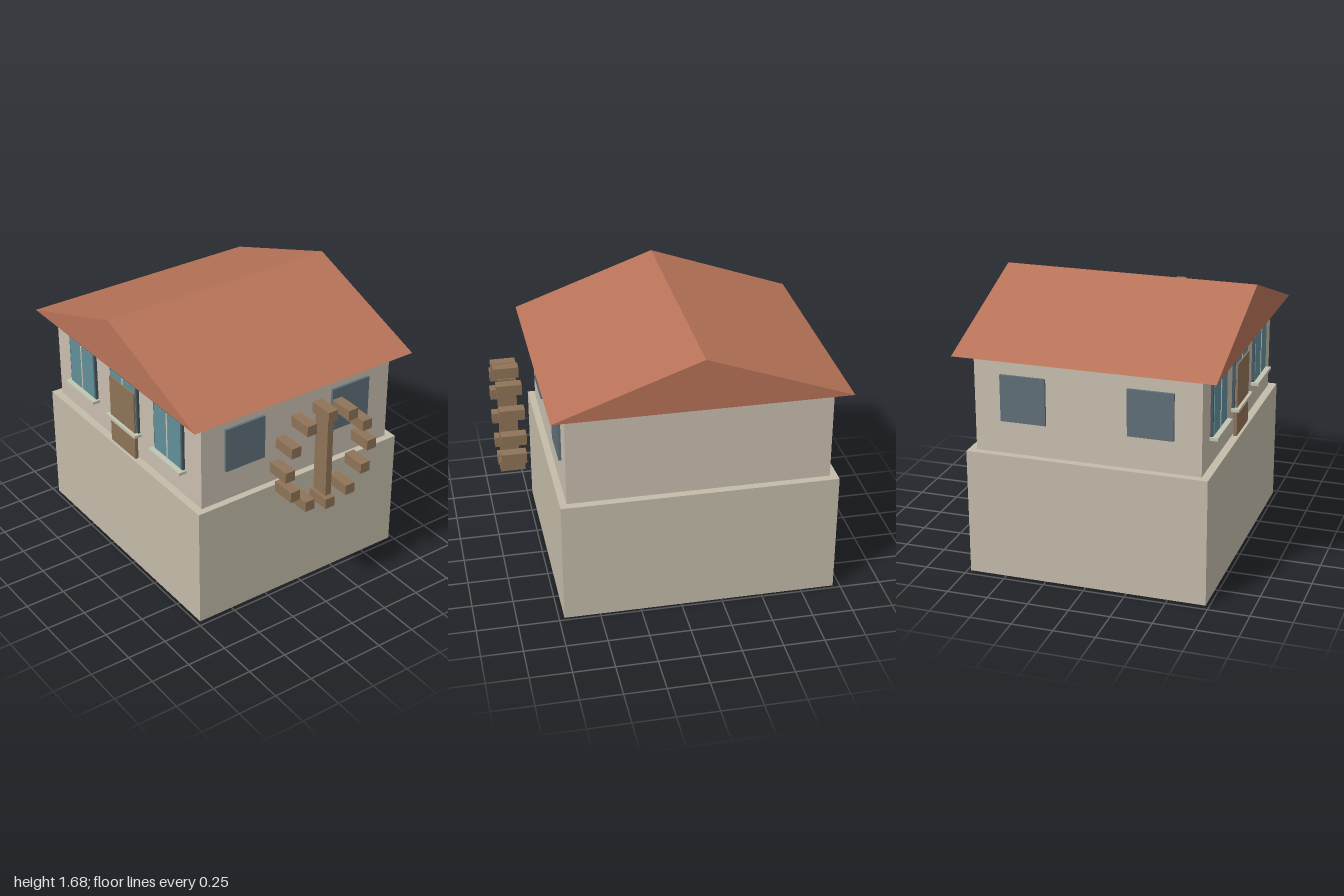
import * as THREE from 'three';

const mat = (color) => new THREE.MeshStandardMaterial({ color, flatShading: true });

export function createModel() {
  const house = new THREE.Group();
  house.name = 'house';
  const stone = mat(0xc4bcaa), plaster = mat(0xcabfb0), tile = mat(0xb87358);
  const wood = mat(0x8f7357), frame = mat(0x47575f), glass = mat(0x62909a);
  const shade = mat(0x5f6f79), trim = mat(0xc4c4b4);

  // Box given by its lower and upper limits on each axis
  const box = (parent, name, material, [x0, x1], [y0, y1], [z0, z1]) => {
    const mesh = new THREE.Mesh(new THREE.BoxGeometry(x1 - x0, y1 - y0, z1 - z0), material);
    mesh.position.set((x0 + x1) / 2, (y0 + y1) / 2, (z0 + z1) / 2);
    mesh.name = name;
    parent.add(mesh);
    return mesh;
  };
  const group = (name) => {
    const g = new THREE.Group();
    g.name = name;
    house.add(g);
    return g;
  };

  // Two storeys, the lower one slightly wider
  const cx = -0.117;
  box(house, 'lowerStorey', stone, [-0.957, 0.718], [0, 0.773], [-0.728, 0.728]);
  box(house, 'upperStorey', plaster, [-0.91, 0.676], [0.773, 1.366], [-0.68, 0.68]);

  // Gable roof with its ridge running front to back
  const gable = new THREE.Shape([
    new THREE.Vector2(-1, 1.363),
    new THREE.Vector2(0.765, 1.363),
    new THREE.Vector2(cx, 1.68),
  ]);
  const roofGeometry = new THREE.ExtrudeGeometry(gable, { depth: 1.56, bevelEnabled: false });
  const roof = new THREE.Mesh(roofGeometry.translate(0, 0, -0.78), tile);
  roof.name = 'roof';
  house.add(roof);

  // Front windows with frame, panes, mullion and sill
  for (const x of [-0.594, cx, 0.36]) {
    const w = group('frontWindow');
    box(w, 'windowFrame', frame, [x - 0.149, x + 0.149], [0.95, 1.275], [0.678, 0.696]);
    box(w, 'windowGlass', glass, [x - 0.137, x + 0.137], [0.96, 1.262], [0.69, 0.701]);
    box(w, 'windowMullion', trim, [x - 0.006, x + 0.006], [0.96, 1.262], [0.695, 0.704]);
    box(w, 'windowSill', trim, [x - 0.164, x + 0.164], [0.935, 0.954], [0.68, 0.73]);
  }

  // Door
  box(house, 'door', wood, [-0.252, 0.018], [0.773, 1.225], [0.69, 0.711]);

  // Plain windows on both side walls
  for (const [x0, x1] of [[-0.926, -0.908], [0.674, 0.692]]) {
    for (const z of [-0.382, 0.382]) {
      box(house, 'sideWindow', shade, [x0, x1], [0.973, 1.255], [z - 0.137, z + 0.137]);
    }
  }

  // Wheel of twelve upright paddles around a post, beside the house
  const wheel = group('waterWheel');
  box(wheel, 'wheelPost', wood, [0.867, 0.98], [0.773, 1.275], [-0.02, 0.02]);
  const radius = 0.295, half = 0.033;
  for (let i = 0; i < 12; i++) {
    const a = (i * Math.PI) / 6;
    const y = 1.024 + radius * Math.cos(a), z = radius * Math.sin(a);
    box(wheel, 'wheelPaddle', wood, [0.85, 1], [y - half, y + half], [z - half, z + half]);
  }

  return house;
}
